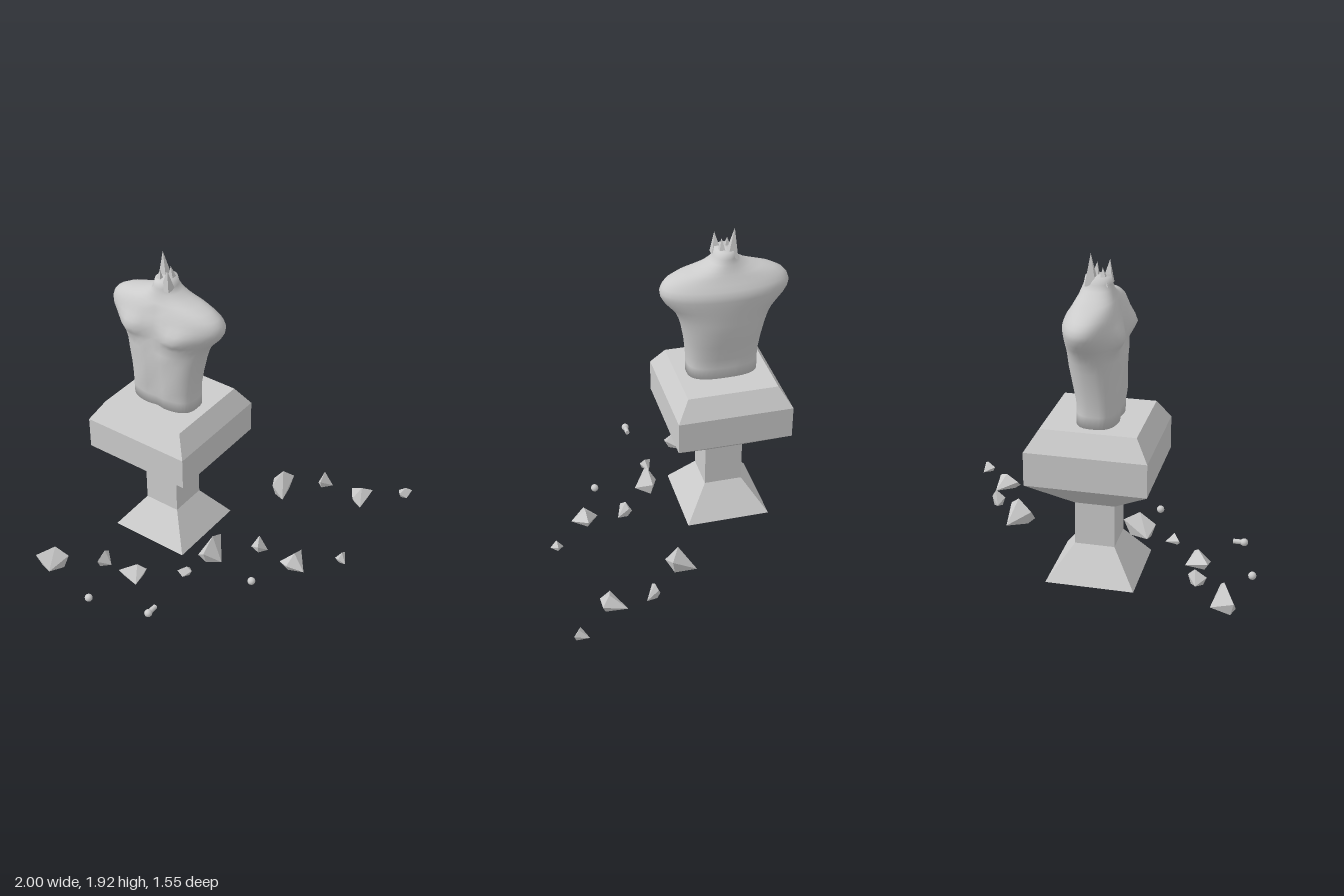
import * as THREE from 'three';
import { mergeVertices } from 'three/addons/utils/BufferGeometryUtils.js';
import { ConvexGeometry } from 'three/addons/geometries/ConvexGeometry.js';

const smooth = new THREE.MeshStandardMaterial({ color: 0xcccccc, side: THREE.DoubleSide });
const faceted = new THREE.MeshStandardMaterial({ color: 0xcccccc, side: THREE.DoubleSide, flatShading: true });
const CX = -0.075, CZ = -0.37;

function add(parent, name, geometry, material, x = 0, y = 0, z = 0) {
  const mesh = new THREE.Mesh(geometry, material);
  mesh.name = name;
  mesh.position.set(x, y, z);
  parent.add(mesh);
  return mesh;
}

// Square pedestal: [half width, height] profile, hollow and open underneath
function pedestalGeometry() {
  const profile = [[0.26, 0], [0.117, 0.2], [0.117, 0.46], [0.35, 0.65], [0.35, 0.85], [0.275, 0.97], [0, 0.97]];
  const points = profile.map(([w, y]) => new THREE.Vector2(w * Math.SQRT2, y));
  return new THREE.LatheGeometry(points, 4, Math.PI / 4);
}

// Torso facing -x: sections of [height, chest x, back x, half width]
const SECTIONS = [
  [0.96, -0.21, 0.035, 0.215], [1.04, -0.215, 0.035, 0.215], [1.1, -0.22, 0.038, 0.217],
  [1.2, -0.225, 0.06, 0.23], [1.3, -0.23, 0.08, 0.25], [1.36, -0.23, 0.087, 0.268],
  [1.41, -0.225, 0.092, 0.29], [1.45, -0.225, 0.097, 0.322], [1.49, -0.225, 0.1, 0.358],
  [1.53, -0.225, 0.103, 0.38], [1.56, -0.222, 0.102, 0.385], [1.59, -0.215, 0.09, 0.375],
  [1.62, -0.205, 0.07, 0.35], [1.65, -0.19, 0.053, 0.295], [1.67, -0.18, 0.042, 0.22],
  [1.69, -0.17, 0.032, 0.15], [1.72, -0.16, 0.02, 0.092], [1.75, -0.152, 0.008, 0.067],
  [1.79, -0.145, 0, 0.058],
];

function torsoGeometry() {
  const n = SECTIONS.length - 1;
  let geo = new THREE.CylinderGeometry(1, 1, 1, 40, n);
  const pos = geo.attributes.position;
  for (let i = 0; i < pos.count; i++) {
    const [y, x0, x1, w] = SECTIONS[Math.round((pos.getY(i) + 0.5) * n)];
    // boxier at the waist, oval at the shoulders
    const power = THREE.MathUtils.clamp(0.7 + (y - 1) * 0.5, 0.7, 0.95);
    const shape = (v) => Math.sign(v) * Math.abs(v) ** power;
    const c = shape(pos.getX(i)), s = shape(pos.getZ(i));
    let x = (x0 + x1) / 2 + c * (x1 - x0) / 2;
    const dz = s * w;
    if (c < -0.05) {
      // chest muscles with a cleft between them, faint ripples below
      const bulge = Math.exp(-(((Math.abs(dz) - 0.17) / 0.09) ** 2) - ((y - 1.49) / 0.06) ** 2);
      const cleft = Math.exp(-((dz / 0.04) ** 2));
      x += -c * (-0.055 * bulge + 0.012 * cleft * (y < 1.65 ? 1 : 0));
      if (y > 1 && y < 1.42) x += 0.005 * c * Math.sin(y * 55) * Math.cos(dz * 28);
    }
    pos.setXYZ(i, x, y, CZ - 0.004 + dz);
  }
  geo.deleteAttribute('uv');
  geo.deleteAttribute('normal');
  geo = mergeVertices(geo, 1e-4);
  geo.computeVertexNormals();
  return geo;
}

// Jagged neck splinter with a leaning tip
function splinterGeometry(x, z, r, tip) {
  const pts = [new THREE.Vector3(...tip)];
  for (let i = 0; i < 4; i++) {
    const a = (i + 0.5) * Math.PI / 2;
    pts.push(new THREE.Vector3(x + r * Math.cos(a), 1.74, z + r * Math.sin(a)));
  }
  return new ConvexGeometry(pts);
}

// Stone shard: a four-cornered outline with alternating corner heights and a peak
function chunkGeometry([h, ...outline]) {
  const pts = [], mid = new THREE.Vector3();
  const heights = [0.55, 0.12, 0.65, 0.05];
  for (let i = 0; i < 4; i++) {
    const p = new THREE.Vector3(outline[i * 2], h * heights[i], outline[i * 2 + 1]);
    pts.push(p);
    mid.addScaledVector(p, 0.25);
  }
  const lean = pts[2].clone().sub(pts[0]).multiplyScalar(0.1);
  pts.push(new THREE.Vector3(mid.x + lean.x, h, mid.z + lean.z));
  for (const k of [0, 2]) {
    const foot = mid.clone().lerp(pts[k], 0.65);
    pts.push(foot.setY(0.005));
  }
  return new ConvexGeometry(pts);
}

// Each shard: height, then x, z of its four corners
const CHUNKS = [
  [0.165, -0.93, -0.78, -0.79, -0.72, -0.83, -0.6, -0.93, -0.68],
  [0.1, -0.73, -0.46, -0.67, -0.5, -0.62, -0.46, -0.66, -0.41],
  [0.1, -0.71, -0.31, -0.57, -0.27, -0.61, -0.17, -0.71, -0.18],
  [0.065, -0.49, -0.03, -0.4, 0, -0.45, 0.05, -0.49, 0.01],
  [0.165, -0.33, 0.05, -0.29, -0.02, -0.13, 0.04, -0.25, 0.13],
  [0.11, -0.06, 0.27, -0.03, 0.2, 0.02, 0.23, 0.01, 0.3],
  [0.095, -0.09, 0.5, -0.04, 0.42, 0.08, 0.5, -0.03, 0.59],
  [0.065, 0.16, 0.72, 0.19, 0.68, 0.24, 0.72, 0.18, 0.76],
  [0.165, 0.46, 0.03, 0.6, -0.05, 0.61, 0.1, 0.46, 0.11],
  [0.11, 0.7, 0.25, 0.74, 0.21, 0.78, 0.23, 0.78, 0.3],
  [0.095, 0.69, 0.5, 0.82, 0.42, 0.83, 0.57, 0.69, 0.56],
  [0.065, 0.92, 0.72, 0.99, 0.68, 1, 0.77, 0.95, 0.76],
];

export function createModel() {
  const group = new THREE.Group();
  group.name = 'brokenBust';

  add(group, 'pedestal', pedestalGeometry(), faceted, CX, 0, CZ);
  add(group, 'torso', torsoGeometry(), smooth);

  // Broken neck
  const neck = new THREE.Group();
  neck.name = 'brokenNeck';
  group.add(neck);
  const splinters = [
    [-0.115, -0.335, 0.042, [-0.125, 1.87, -0.325]],
    [-0.04, -0.405, 0.045, [-0.04, 1.925, -0.42]],
    [-0.045, -0.35, 0.04, [-0.06, 1.86, -0.35]],
    [-0.11, -0.4, 0.04, [-0.1, 1.84, -0.395]],
  ];
  for (const s of splinters) add(neck, 'splinter', splinterGeometry(...s), faceted);

  // Scattered rubble
  const rubble = new THREE.Group();
  rubble.name = 'rubble';
  group.add(rubble);
  for (const c of CHUNKS) add(rubble, 'stoneChunk', chunkGeometry(c), faceted);

  // Round pebbles, and one with a short stalk
  const ball = new THREE.SphereGeometry(0.024, 14, 10);
  add(rubble, 'pebble', ball, smooth, -0.975, 0.026, -0.325);
  add(rubble, 'pebble', ball, smooth, -0.295, 0.026, 0.385);
  const peg = new THREE.Group();
  peg.name = 'peg';
  rubble.add(peg);
  add(peg, 'pegHead', ball, smooth, -0.877, 0.036, 0.05);
  add(peg, 'pegStalk', new THREE.CylinderGeometry(0.015, 0.015, 0.07, 10), smooth, -0.845, 0.036, 0.05).rotation.z = Math.PI / 2;

  return group;
}
